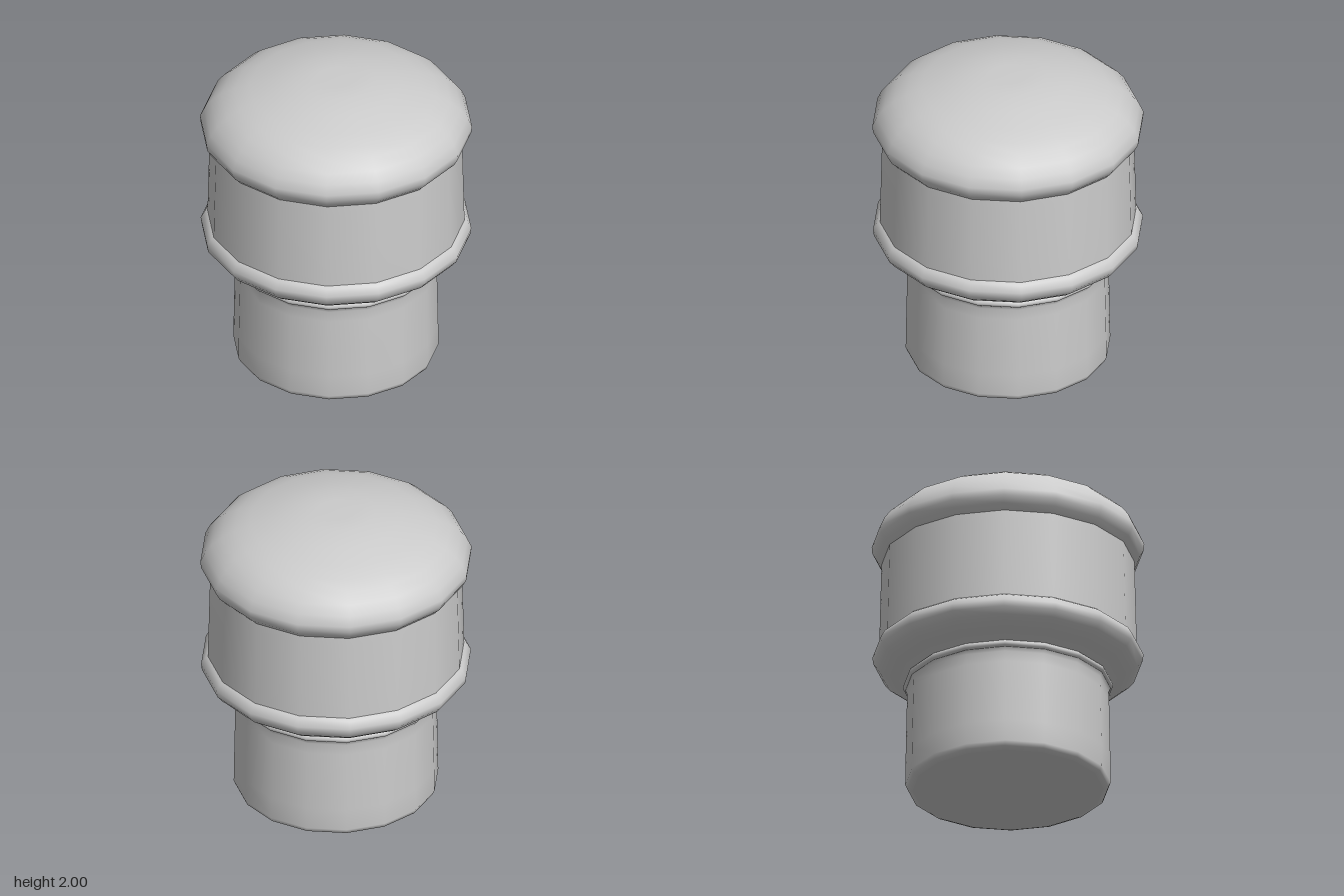
import * as THREE from 'three';

const SIDES = 16;

// One smooth band of revolution; separate bands keep the seams between them crisp.
function band(name, profile) {
  const points = profile.map(([r, y]) => new THREE.Vector2(r, y));
  const material = new THREE.MeshStandardMaterial({ color: 0xcccccc });
  const mesh = new THREE.Mesh(new THREE.LatheGeometry(points, SIDES), material);
  mesh.name = name;
  return mesh;
}

export function createModel() {
  const group = new THREE.Group();
  group.name = 'cappedStopper';
  group.add(
    // slightly domed underside
    band('underside', [[0, 0], [0.3, 0.003], [0.59, 0.012]]),
    // narrow lower stem with a rounded foot
    band('stem', [[0.59, 0.012], [0.622, 0.025], [0.635, 0.055], [0.633, 0.2], [0.629, 0.4], [0.625, 0.6], [0.622, 0.67], [0.634, 0.695]]),
    // thin bead around the neck
    band('neckRing', [[0.634, 0.695], [0.646, 0.703], [0.65, 0.718], [0.644, 0.731], [0.635, 0.739]]),
    // flared collar
    band('collar', [[0.635, 0.739], [0.685, 0.772], [0.75, 0.803], [0.8, 0.84], [0.832, 0.88], [0.838, 0.922], [0.815, 0.963], [0.795, 0.977]]),
    // wide upper barrel
    band('barrel', [[0.795, 0.977], [0.793, 1.1], [0.788, 1.3], [0.783, 1.5], [0.781, 1.555]]),
    // overhanging domed cap
    band('cap', [[0.781, 1.555], [0.815, 1.59], [0.838, 1.632], [0.842, 1.675], [0.815, 1.735], [0.773, 1.79], [0.71, 1.845], [0.63, 1.887], [0.537, 1.923], [0.39, 1.964], [0.24, 1.995], [0.12, 1.999], [0, 2]])
  );
  return group;
}
